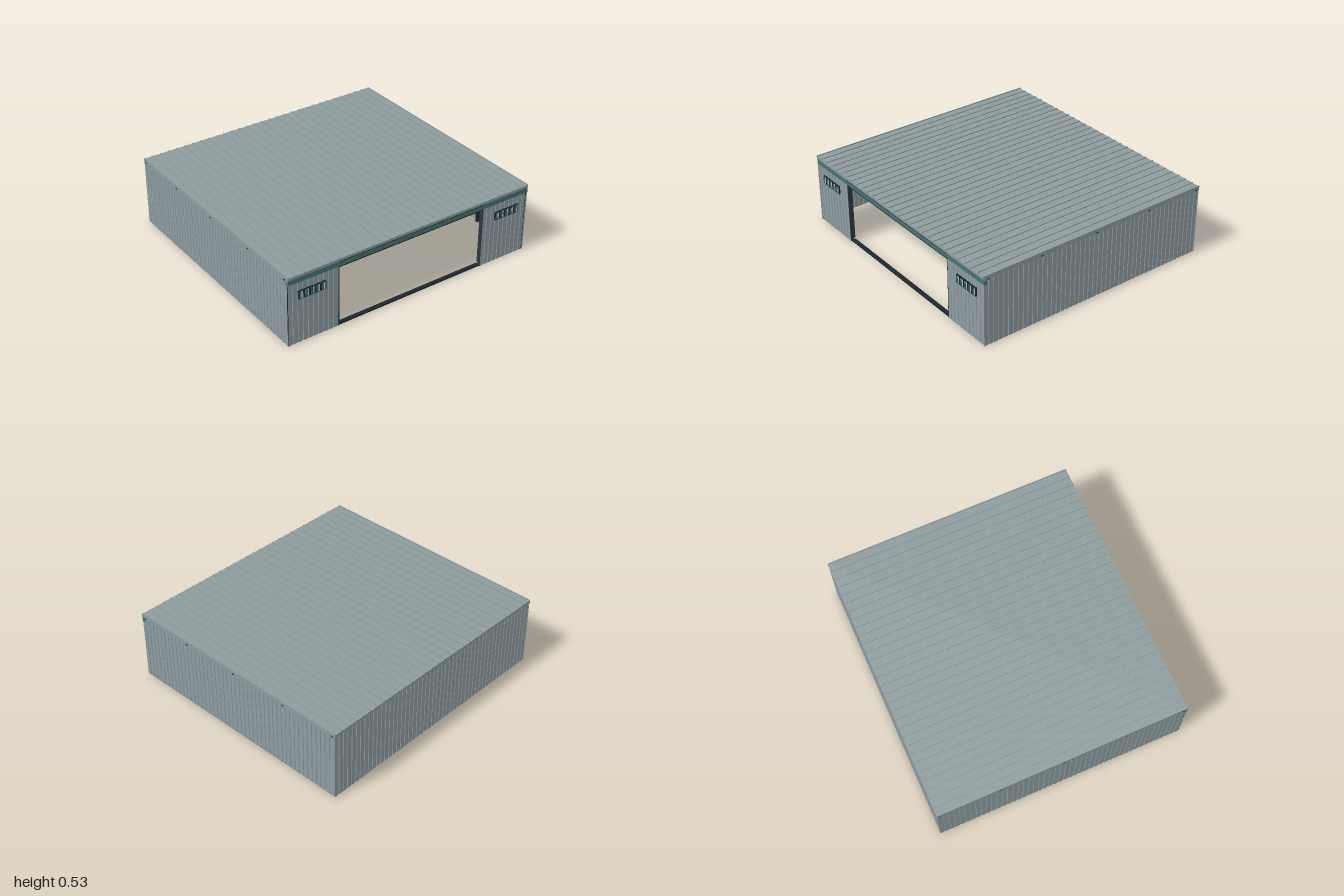
import * as THREE from 'three';

const material = (name, color, side = THREE.FrontSide) => {
  const m = new THREE.MeshStandardMaterial({ color, side });
  m.name = name;
  return m;
};

export function createModel() {
  const model = new THREE.Group();
  model.name = 'hangar';
  const cladding = material('grey cladding', 0x8e9da1);
  const roofing = material('grey roofing', 0x8e9b9d);
  const steel = material('dark steel', 0x1e272e);
  const slate = material('slate door', 0x2c3843);
  const teal = material('teal trim', 0x477374);
  const glass = material('pale glass', 0x9fc4c2);

  const add = (name, geometry, mat, parent = model) => {
    const mesh = new THREE.Mesh(geometry, mat);
    mesh.name = name;
    parent.add(mesh);
    return mesh;
  };
  const box = (name, w, h, d, x, y, z, mat, parent = model) => {
    const mesh = add(name, new THREE.BoxGeometry(w, h, d), mat, parent);
    mesh.position.set(x, y, z);
    return mesh;
  };
  // Square bar between two points in the plane of a frame
  const bar = (name, x1, y1, x2, y2, z, size, parent) => {
    const mesh = box(name, Math.hypot(x2 - x1, y2 - y1), size, size, (x1 + x2) / 2, (y1 + y2) / 2, z, steel, parent);
    mesh.rotation.z = Math.atan2(y2 - y1, x2 - x1);
    return mesh;
  };

  // Corrugated sheet: ribbed plan extruded upward, outer side at local z = 0
  const ribbedWall = (name, length, height, x, z, turn) => {
    const count = Math.round(length / 0.04), step = length / count, depth = 0.004, thick = 0.005;
    const line = [];
    for (let i = 0; i < count; i++) {
      const a = -length / 2 + i * step;
      line.push([a, 0], [a + step * 0.72, 0], [a + step * 0.78, depth], [a + step * 0.94, depth]);
    }
    line.push([length / 2, 0]);
    const back = line.map(([a, b]) => [a, b + thick]).reverse();
    const shape = new THREE.Shape([...line, ...back].map(([a, b]) => new THREE.Vector2(a, b)));
    const geometry = new THREE.ExtrudeGeometry(shape, { depth: height, bevelEnabled: false });
    geometry.rotateX(-Math.PI / 2);
    const wall = add(name, geometry, cladding);
    wall.position.set(x, 0, z);
    wall.rotation.y = turn;
  };

  // Walls
  ribbedWall('backWall', 1.996, 0.508, 0, -0.93, Math.PI);
  for (const s of [-1, 1]) {
    ribbedWall('sideWall', 1.86, 0.508, s * 0.998, 0, s * Math.PI / 2);
    ribbedWall('frontWall', 0.398, 0.472, s * 0.799, 0.924, 0);
    box('cornerTrim', 0.006, 0.47, 0.006, s * 0.995, 0.235, 0.922, steel);
    box('openingJamb', 0.005, 0.47, 0.02, s * 0.602, 0.235, 0.915, slate);
  }

  // Roof slab with standing seams
  box('roofSlab', 2, 0.02, 1.864, 0, 0.516, 0, roofing);
  for (let i = 1; i < 30; i++) {
    box('roofSeam', 0.006, 0.006, 1.864, -1 + i / 15, 0.529, 0, roofing);
  }
  for (const s of [-1, 1]) {
    box('roofEdge', 0.008, 0.006, 1.864, s * 0.996, 0.529, 0, roofing);
    box('eaveFlashing', 0.004, 0.01, 1.86, s * 0.998, 0.503, 0, roofing);
  }

  // Front fascia, door header and floor rail
  box('fascia', 2, 0.04, 0.022, 0, 0.488, 0.919, teal);
  box('upperDoorTrack', 1.2, 0.008, 0.006, 0, 0.505, 0.929, steel);
  box('doorHeader', 1.2, 0.01, 0.035, 0, 0.464, 0.91, steel);
  box('floorRail', 1.2, 0.011, 0.03, 0, 0.0055, 0.905, steel);

  // Sliding doors parked behind the front walls
  for (const s of [-1, 1]) {
    for (let i = 0; i < 2; i++) {
      box('doorLeaf', 0.22, 0.448, 0.008, s * (0.715 + i * 0.006), 0.236, 0.9 - i * 0.013, slate);
    }
  }

  // Strip windows, visible on both faces of the front walls
  for (const s of [-1, 1]) {
    const strip = new THREE.Group();
    strip.name = 'stripWindow';
    strip.position.set(s * 0.814, 0.372, 0.927);
    model.add(strip);
    for (let i = -2; i <= 2; i++) {
      const x = i * 0.043;
      box('windowFrame', 0.038, 0.062, 0.016, x, 0, 0, steel, strip);
      box('tealPane', 0.013, 0.052, 0.002, x - 0.007, 0, 0.0085, teal, strip);
      box('palePane', 0.011, 0.052, 0.002, x + 0.008, 0, 0.0085, glass, strip);
      box('innerPane', 0.036, 0.06, 0.004, x, 0, -0.016, slate, strip);
    }
  }

  // Five portal frames: columns, lattice beam and knee braces
  for (const z of [-0.905, -0.465, 0, 0.465, 0.895]) {
    const frame = new THREE.Group();
    frame.name = 'portalFrame';
    model.add(frame);
    box('topChord', 2.002, 0.008, 0.018, 0, 0.503, z, steel, frame);
    box('bottomChord', 1.96, 0.008, 0.018, 0, 0.472, z, steel, frame);
    for (let i = 0; i < 40; i++) {
      const x = -0.96 + i * 0.048, up = i % 2;
      bar('latticeBrace', x, up ? 0.502 : 0.473, x + 0.048, up ? 0.473 : 0.502, z, 0.005, frame);
    }
    for (const s of [-1, 1]) {
      box('column', 0.024, 0.5, 0.022, s * 0.978, 0.25, z, steel, frame);
      bar('kneeBrace', s * 0.97, 0.41, s * 0.91, 0.472, z, 0.01, frame);
    }
  }
  return model;
}
